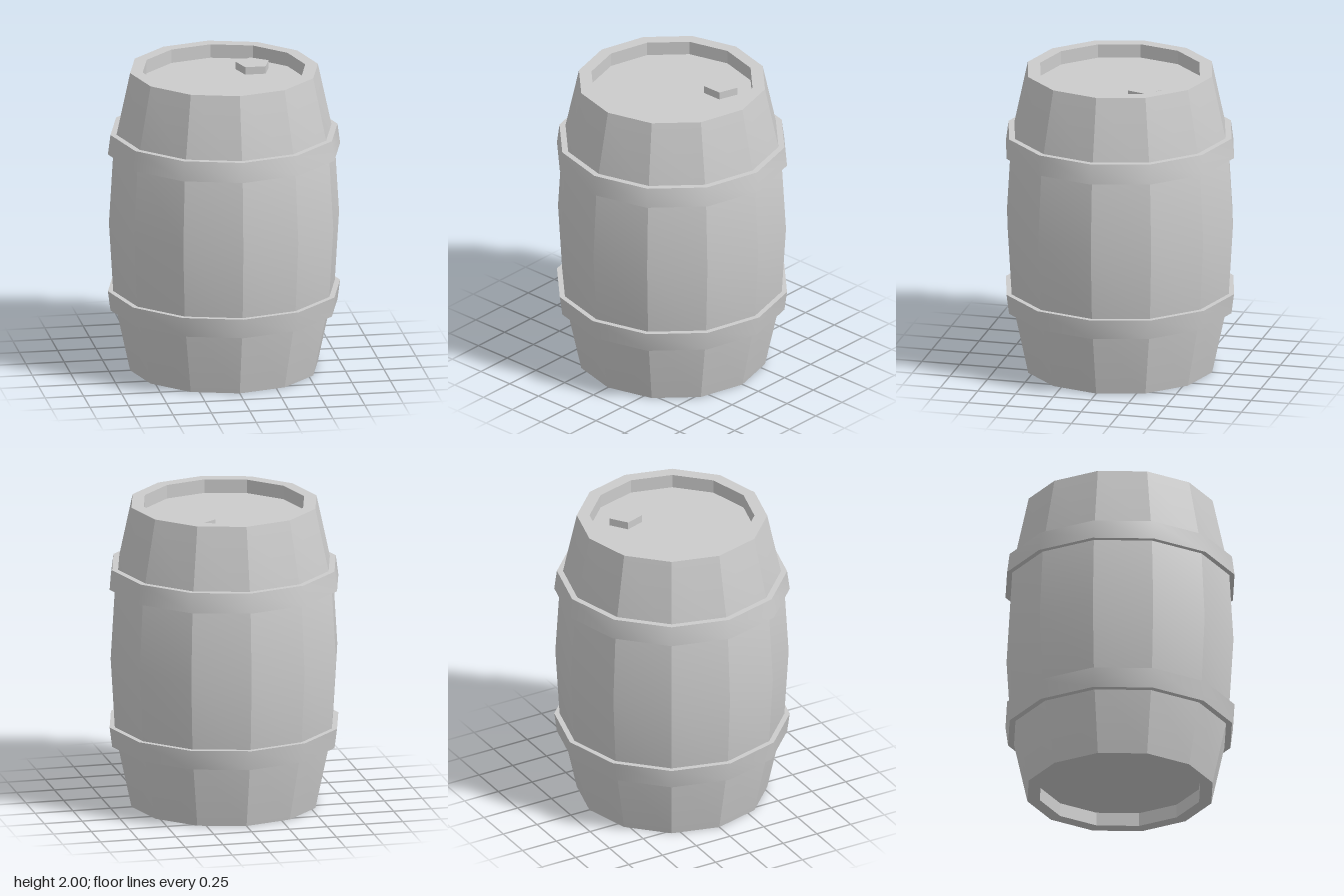
import * as THREE from 'three';
import { toCreasedNormals } from 'three/addons/utils/BufferGeometryUtils.js';

const SIDES = 12;

// Twelve-sided turned part; edges sharper than the crease angle (degrees) stay hard
function turned(name, profile, crease, material) {
  const points = profile.map(([r, y]) => new THREE.Vector2(r, y));
  const geometry = toCreasedNormals(
    new THREE.LatheGeometry(points, SIDES), THREE.MathUtils.degToRad(crease));
  const mesh = new THREE.Mesh(geometry, material);
  mesh.name = name;
  return mesh;
}

export function createModel() {
  const group = new THREE.Group();
  group.name = 'barrel';
  const grey = new THREE.MeshStandardMaterial({ color: 0xcccccc });
  grey.name = 'grey';

  // Bulging body with recessed ends: lower half of the profile, then its mirror
  const half = [[0, 0.09], [0.53, 0.09], [0.53, 0], [0.612, 0], [0.72, 0.5]];
  const upper = half.map(([r, y]) => [r, 2 - y]).reverse();
  group.add(turned('body', [...half, [0.75, 1], ...upper], 22, grey));

  // Hoops, flaring towards the middle of the barrel
  const lower = [[0.68, 0.41], [0.74, 0.41], [0.757, 0.54], [0.68, 0.54], [0.68, 0.41]];
  group.add(turned('lowerHoop', lower, 40, grey));
  const raised = lower.map(([r, y]) => [r, 2 - y]).reverse();
  group.add(turned('upperHoop', raised, 40, grey));

  // Five-sided bung on the lid, one corner pointing to the back
  const bungGeometry = toCreasedNormals(
    new THREE.CylinderGeometry(0.113, 0.113, 0.07, 5), 0.5);
  const bung = new THREE.Mesh(bungGeometry, grey);
  bung.name = 'bung';
  bung.rotation.y = Math.PI;
  bung.position.set(0.227, 1.925, -0.221);
  group.add(bung);

  return group;
}
